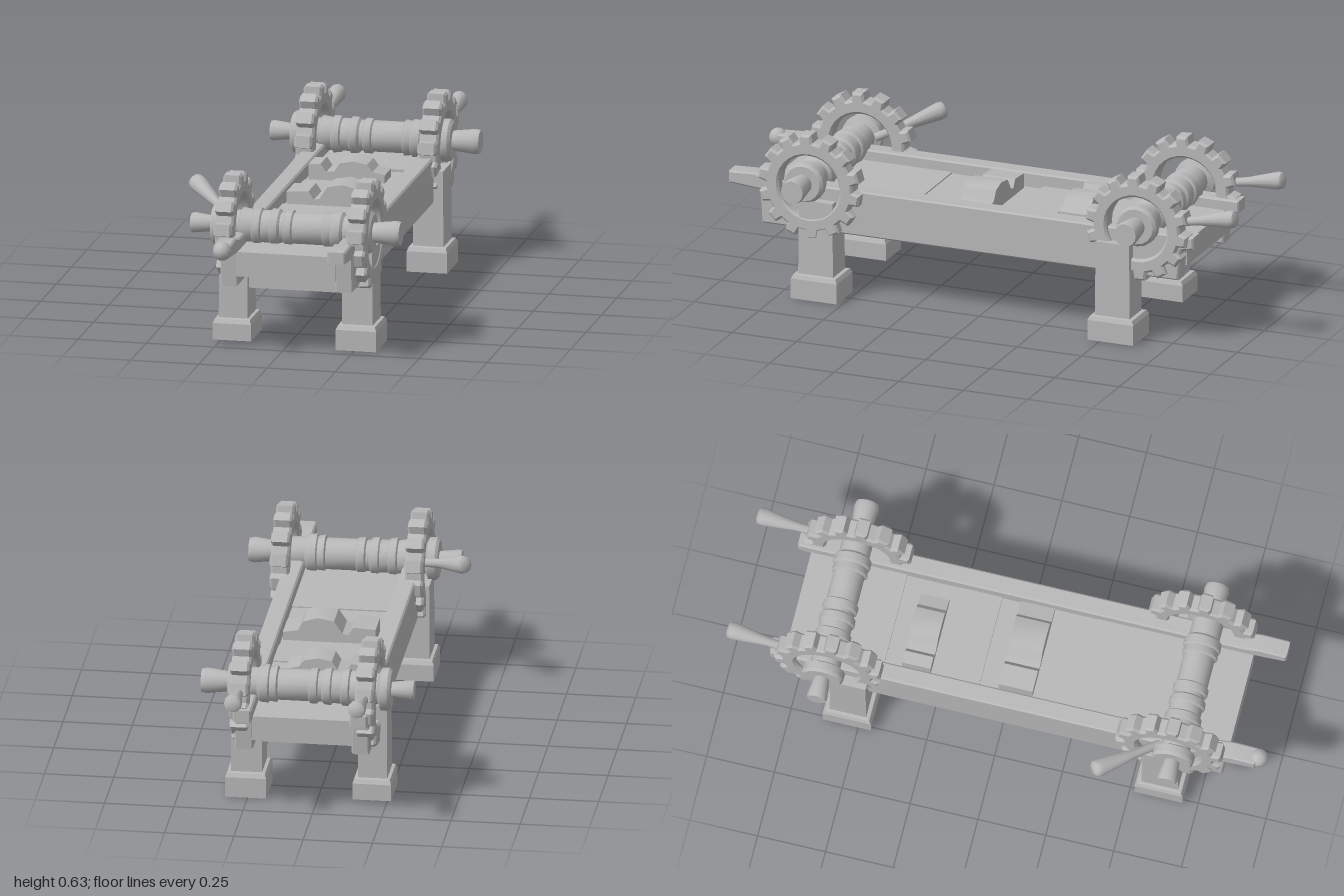
import * as THREE from 'three';
import { toCreasedNormals } from 'three/addons/utils/BufferGeometryUtils.js';

const grey = new THREE.MeshStandardMaterial({ color: 0xb8b8b8 });
grey.name = 'plain grey';

const v2 = (list) => list.map(([x, y]) => new THREE.Vector2(x, y));

export function createModel() {
  const model = new THREE.Group();
  model.name = 'rollerBench';

  const add = (name, geo, crease = 0.6) => {
    const mesh = new THREE.Mesh(toCreasedNormals(geo, crease), grey);
    mesh.name = name;
    model.add(mesh);
    return mesh;
  };
  // box given by its limits on each axis
  const box = (name, x0, x1, y0, y1, z0, z1) =>
    add(name, new THREE.BoxGeometry(x1 - x0, y1 - y0, z1 - z0)
      .translate((x0 + x1) / 2, (y0 + y1) / 2, (z0 + z1) / 2));

  // side rails: profile in (z, y), extruded across x
  const rail = (name, x0, x1, tip) => {
    const shape = new THREE.Shape(v2([
      [-0.78, 0.25], [0.83, 0.25], [0.84, 0.375], [tip, 0.385], [tip, 0.43],
      [0.86, 0.435], [0.8, 0.42], [-0.84, 0.42], [-0.84, 0.375], [-0.79, 0.365],
    ]));
    const b = 0.006;
    const geo = new THREE.ExtrudeGeometry(shape, {
      depth: x1 - x0 - 2 * b, bevelSize: b, bevelThickness: b, bevelOffset: -b, bevelSegments: 1,
    });
    add(name, geo.rotateY(-Math.PI / 2).translate(x1 - b, 0, 0));
  };
  rail('rightRail', -0.21, -0.145, 0.95);
  rail('leftRail', 0.21, 0.277, 0.96);
  add('railKnob', new THREE.SphereGeometry(0.034, 12, 8).translate(-0.175, 0.41, 0.955), 1);

  // bed planks: [z0, z1, bottom, top]
  [[-0.79, -0.435, 0.29, 0.38], [-0.435, -0.24, 0.305, 0.37], [-0.24, -0.085, 0.295, 0.375],
    [-0.085, 0.11, 0.305, 0.365], [0.11, 0.27, 0.295, 0.375], [0.27, 0.84, 0.29, 0.38],
  ].forEach(([z0, z1, y0, y1]) => box('bedPlank', -0.15, 0.215, y0, y1, z0, z1));

  // arched cuffs on the bed, profile in (x, y)
  const cuff = (points, z0, z1) => add('cuff',
    new THREE.ExtrudeGeometry(new THREE.Shape(v2(points)), { depth: z1 - z0, bevelEnabled: false })
      .translate(0, 0, z0));
  cuff([[-0.135, 0.36], [0.145, 0.36], [0.145, 0.4], [0.1, 0.41], [0.08, 0.435], [0.03, 0.445],
    [-0.02, 0.435], [-0.04, 0.405], [-0.07, 0.4], [-0.09, 0.43], [-0.135, 0.425]], -0.37, -0.265);
  cuff([[-0.13, 0.355], [0.205, 0.355], [0.205, 0.395], [0.15, 0.405], [0.13, 0.44], [0.08, 0.455],
    [0.02, 0.445], [-0.01, 0.4], [-0.03, 0.395], [-0.05, 0.425], [-0.13, 0.42]], -0.015, 0.11);

  // four square legs with hollow feet, and a crossbar for each pair
  const q = Math.SQRT2;
  for (const z of [0.608, -0.541]) {
    for (const [x, y0, k] of [[-0.198, 0.014, 1], [0.257, 0, 1.06]]) {
      const profile = v2([
        [0, 0.075], [0.058, 0.075], [0.058, y0], [0.07, y0], [0.07, 0.075],
        [0.064, 0.09], [0.053, 0.092], [0.051, 0.37], [0, 0.37],
      ].map(([r, y]) => [r * q, y]));
      const geo = new THREE.LatheGeometry(profile, 4, Math.PI / 4);
      add('leg', geo.scale(k, 1, 1.27).translate(x, 0, z), 0.1);
    }
    box('crossbar', -0.16, 0.215, 0.2, 0.24, z - 0.04, z + 0.04);
  }

  // toothed wheel standing in the y-z plane between x0 and x1
  const gear = (x0, x1, y, z) => {
    const teeth = 14, points = [];
    for (let i = 0; i < teeth; i++) {
      for (const [f, r] of [[0, 0.168], [0.32, 0.168], [0.42, 0.197], [0.9, 0.197]]) {
        const a = ((i + f) / teeth) * Math.PI * 2;
        points.push(new THREE.Vector2(Math.cos(a) * r, Math.sin(a) * r));
      }
    }
    const shape = new THREE.Shape(points);
    shape.holes.push(new THREE.Path().absarc(0, 0, 0.118, 0, Math.PI * 2, true));
    const b = 0.008;
    const geo = new THREE.ExtrudeGeometry(shape, {
      depth: x1 - x0 - 2 * b, bevelSize: b, bevelThickness: b, bevelOffset: -b,
      bevelSegments: 1, curveSegments: 14,
    });
    add('gear', geo.rotateY(Math.PI / 2).translate(x0 + b, y, z), 0.5);
  };
  gear(-0.237, -0.17, 0.423, 0.635);
  gear(0.248, 0.315, 0.423, 0.635);
  gear(-0.227, -0.16, 0.432, -0.625);
  gear(0.225, 0.295, 0.432, -0.625);

  // rope-wound roller with hubs and flared axle ends: [x, radius]
  const rollerProfile = [
    [-0.353, 0], [-0.353, 0.034], [-0.343, 0.037], [-0.272, 0.028], [-0.272, 0.068], [-0.262, 0.077],
    [-0.235, 0.077], [-0.225, 0.055], [-0.17, 0.055], [-0.165, 0.065], [-0.125, 0.06], [-0.12, 0.068],
    [-0.095, 0.066], [-0.09, 0.059], [-0.06, 0.06], [-0.055, 0.067], [-0.03, 0.065], [-0.022, 0.056],
    [-0.01, 0.056], [-0.005, 0.064], [0.02, 0.064], [0.025, 0.057], [0.135, 0.057], [0.14, 0.066],
    [0.165, 0.062], [0.17, 0.069], [0.2, 0.067], [0.21, 0.056], [0.27, 0.056], [0.275, 0.077],
    [0.305, 0.077], [0.315, 0.066], [0.315, 0.036], [0.395, 0.046], [0.414, 0.042], [0.414, 0],
  ].map(([x, r]) => [r, x]);
  for (const [y, z] of [[0.433, 0.658], [0.447, -0.632]]) {
    const geo = new THREE.LatheGeometry(v2(rollerProfile), 16);
    add('roller', geo.rotateZ(-Math.PI / 2).translate(0, y, z), 0.7);
  }

  // club-shaped handles from a root point to a tip
  const handle = (from, to) => {
    const a = new THREE.Vector3(...from), b = new THREE.Vector3(...to);
    const len = a.distanceTo(b);
    const geo = new THREE.LatheGeometry(v2([
      [0, 0], [0.016, 0], [0.017, len * 0.4], [0.033, len * 0.9], [0.03, len * 0.97], [0.018, len], [0, len],
    ]), 12);
    geo.applyQuaternion(new THREE.Quaternion().setFromUnitVectors(
      new THREE.Vector3(0, 1, 0), b.clone().sub(a).normalize()));
    add('handle', geo.translate(a.x, a.y, a.z), 0.8);
  };
  handle([-0.195, 0.465, -0.76], [-0.19, 0.508, -1]);
  handle([0.258, 0.465, -0.76], [0.256, 0.508, -1]);
  handle([-0.22, 0.44, 0.6], [-0.4, 0.52, 0.4]);

  return model;
}
